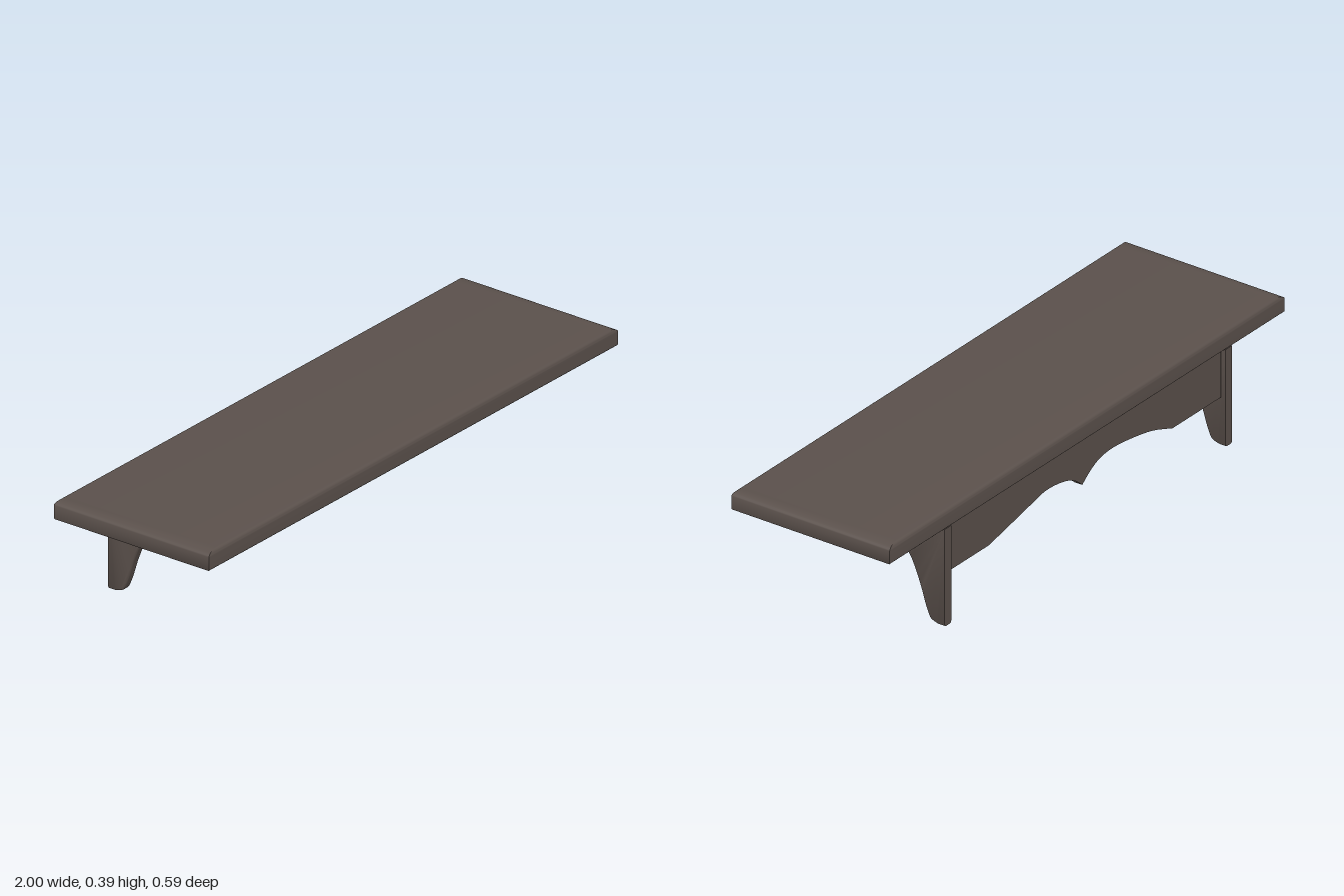
import * as THREE from 'three';
import { toCreasedNormals } from 'three/addons/utils/BufferGeometryUtils.js';

const BACK = -0.296, UNDERSIDE = 0.332;

// Stack of rectangles [y, halfX, halfZ], closed at both ends
function rectLoft(levels) {
  const pos = [], idx = [];
  for (const [y, x, z] of levels) pos.push(x, y, z, x, y, -z, -x, y, -z, -x, y, z);
  for (let i = 0; i < levels.length - 1; i++) {
    for (let k = 0; k < 4; k++) {
      const a = i * 4 + k, b = i * 4 + (k + 1) % 4;
      idx.push(a, b, b + 4, a, b + 4, a + 4);
    }
  }
  const t = (levels.length - 1) * 4;
  idx.push(t, t + 1, t + 2, t, t + 2, t + 3, 0, 2, 1, 0, 3, 2);
  const g = new THREE.BufferGeometry();
  g.setAttribute('position', new THREE.Float32BufferAttribute(pos, 3));
  g.setIndex(idx);
  return toCreasedNormals(g, 0.6);
}

// Shelf board with a rounded upper rim, wider at the ends
function boardGeometry() {
  const levels = [[UNDERSIDE, 0.998, 0.293], [0.335, 1, 0.296]];
  const steps = 6;
  for (let i = 0; i <= steps; i++) {
    const a = (i / steps) * Math.PI / 2;
    levels.push([0.378 + 0.015 * Math.sin(a), 0.95 + 0.05 * Math.cos(a), 0.283 + 0.013 * Math.cos(a)]);
  }
  return rectLoft(levels);
}

// Curved bracket: edges rounded in front, square against wall and board
function bracketGeometry() {
  const bevel = 0.008, width = 0.034;
  const curve = new THREE.SplineCurve([
    [0.062, 0.33], [0.058, 0.322], [0.04, 0.298], [0.02, 0.28], [0, 0.27], [-0.03, 0.262],
    [-0.1, 0.244], [-0.14, 0.224], [-0.167, 0.198], [-0.2, 0.122], [-0.22, 0.06],
    [-0.235, 0.022], [-0.246, 0.008], [-0.27, 0],
  ].map(([z, y]) => new THREE.Vector2(z, y)));
  const shape = new THREE.Shape([
    new THREE.Vector2(0.062, UNDERSIDE + bevel),
    ...curve.getPoints(48),
    new THREE.Vector2(BACK - bevel, 0),
    new THREE.Vector2(BACK - bevel, UNDERSIDE + bevel),
  ]);
  const g = new THREE.ExtrudeGeometry(shape, {
    depth: width - 2 * bevel, bevelThickness: bevel, bevelSize: bevel, bevelOffset: -bevel, bevelSegments: 4,
  });
  g.translate(0, 0, bevel - width / 2);
  g.rotateY(-Math.PI / 2);
  const p = g.attributes.position;
  for (let i = 0; i < p.count; i++) {
    p.setZ(i, Math.max(p.getZ(i), BACK));
    p.setY(i, Math.min(p.getY(i), UNDERSIDE));
  }
  return toCreasedNormals(g, 0.6);
}

// Scalloped panel between the brackets
function panelGeometry() {
  const left = [[-0.45, 0.168], [-0.35, 0.203], [-0.25, 0.222], [-0.15, 0.232], [-0.08, 0.224], [-0.03, 0.2], [0.007, 0.172]];
  const right = [[0.007, 0.172], [0.045, 0.202], [0.1, 0.223], [0.19, 0.232], [0.28, 0.214], [0.37, 0.194], [0.48, 0.17]];
  const scallop = pts => new THREE.SplineCurve(pts.map(([x, y]) => new THREE.Vector2(x, y))).getPoints(24);
  const shape = new THREE.Shape([
    new THREE.Vector2(-0.695, UNDERSIDE), new THREE.Vector2(-0.695, 0.168),
    ...scallop(left), ...scallop(right).slice(1),
    new THREE.Vector2(0.695, 0.17), new THREE.Vector2(0.695, UNDERSIDE),
  ]);
  const g = new THREE.ExtrudeGeometry(shape, { depth: 0.03, bevelEnabled: false });
  g.translate(0, 0, BACK + 0.013);
  return toCreasedNormals(g, 0.5);
}

export function createModel() {
  const group = new THREE.Group();
  group.name = 'wallShelf';
  const wood = new THREE.MeshStandardMaterial({ color: 0x5a504b });
  wood.name = 'darkWood';

  const add = (name, geometry, x = 0) => {
    const mesh = new THREE.Mesh(geometry, wood);
    mesh.name = name;
    mesh.position.x = x;
    group.add(mesh);
  };

  add('shelfBoard', boardGeometry());
  add('scallopedPanel', panelGeometry());
  const bracket = bracketGeometry();
  add('leftBracket', bracket, 0.705);
  add('rightBracket', bracket, -0.717);
  return group;
}
